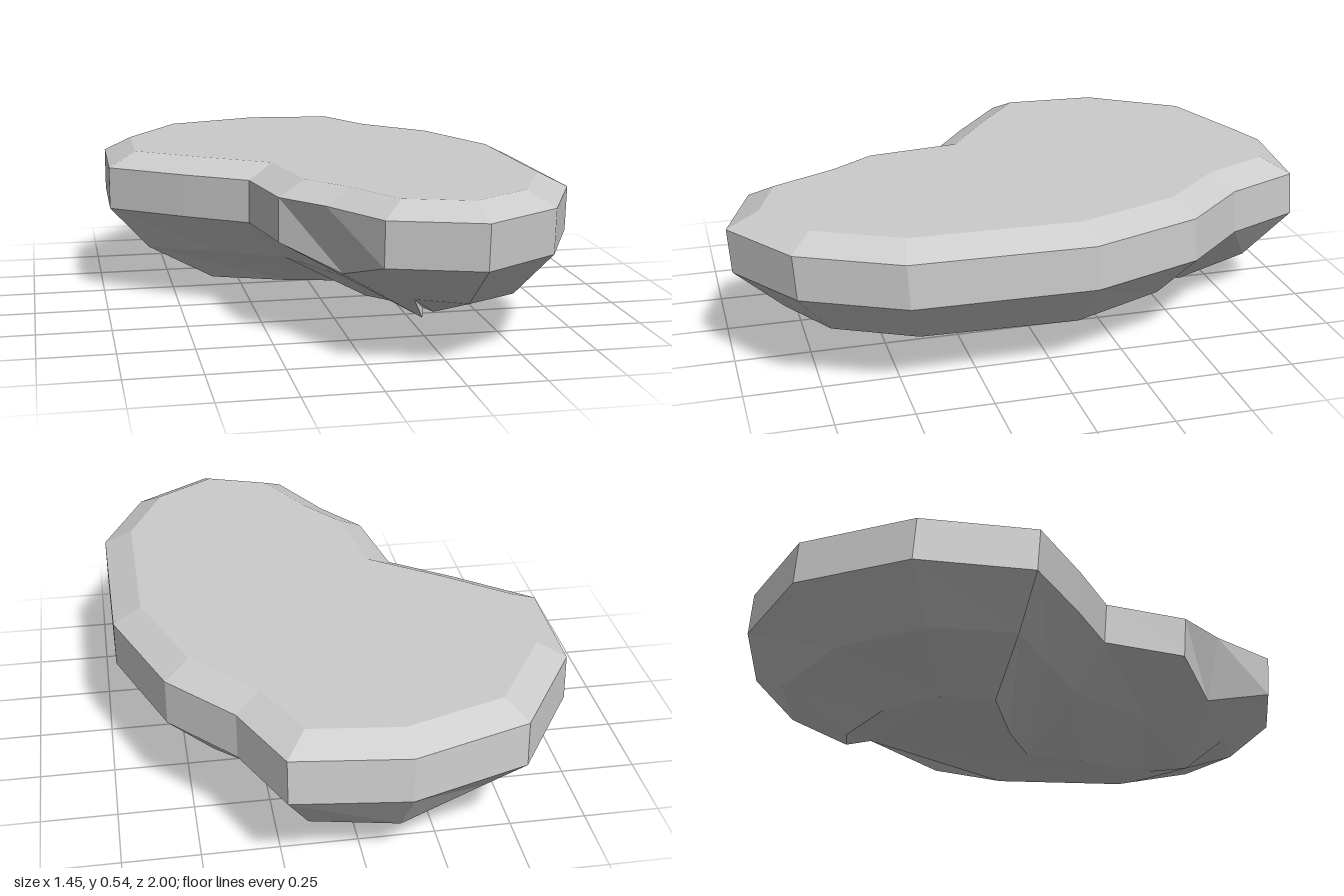
import * as THREE from 'three';

// Widest outline (x, z), running clockwise as seen from above
const outline = [
  [-0.12, -0.99], [0.25, -0.945], [0.37, -0.685], [0.57, -0.465], [0.715, -0.085], [0.72, 0.51],
  [0.57, 0.83], [0.31, 1.0], [0.02, 0.9], [-0.11, 0.66], [-0.23, 0.5], [-0.28, 0.2],
  [-0.48, 0.06], [-0.725, -0.13], [-0.72, -0.52], [-0.5, -0.865],
];

// Tapering underside (x, y, z), with a crease folded in from the two bays
const belly = [
  [-0.11, 0.14, -0.87], [0.17, 0.145, -0.82], [0.18, 0.145, -0.58], [0.42, 0.155, -0.4],
  [0.58, 0.165, -0.07], [0.59, 0.18, 0.45], [0.48, 0.19, 0.71], [0.3, 0.2, 0.83],
  [0.15, 0.2, 0.75], [0.21, 0.1, 0.62], [0, 0.19, 0.41], [-0.15, 0.19, 0.12],
  [-0.36, 0.185, -0.02], [-0.59, 0.175, -0.17], [-0.59, 0.165, -0.46], [-0.41, 0.15, -0.73],
];
const base = [
  [-0.08, 0, -0.65], [0.03, 0.01, -0.64], [0.11, 0.065, -0.55], [0.25, 0.03, -0.3],
  [0.34, 0.045, -0.05], [0.34, 0.07, 0.4], [0.32, 0.075, 0.45], [0.28, 0.08, 0.5],
  [0.25, 0.09, 0.48], [0.22, 0.095, 0.45], [0.12, 0.06, 0.2], [0.1, 0.06, 0],
  [-0.1, 0.045, -0.1], [-0.36, 0.045, -0.2], [-0.36, 0.04, -0.38], [-0.26, 0.02, -0.55],
];

// Move every corner of the outline inwards by an even distance
function inset(points, d) {
  const n = points.length;
  return points.map((p, i) => {
    const here = new THREE.Vector2(...p);
    const a = here.clone().sub(new THREE.Vector2(...points[(i + n - 1) % n])).normalize();
    const b = new THREE.Vector2(...points[(i + 1) % n]).sub(here).normalize();
    const na = new THREE.Vector2(-a.y, a.x), nb = new THREE.Vector2(-b.y, b.x);
    const miter = na.clone().add(nb).multiplyScalar(d / (1 + na.dot(nb)));
    return here.add(miter).toArray();
  });
}

// Place an outline on a plane that rises slightly towards the front
const lift = (points, y, shift = 0) =>
  points.map(([x, z]) => [x, y + 0.012 * z, z + shift]);

function loft(rings) {
  const n = rings[0].length, index = [];
  // Side bands between neighbouring rings
  for (let r = 0; r < rings.length - 1; r++) {
    for (let i = 0; i < n; i++) {
      const j = (i + 1) % n;
      const a = r * n + i, b = r * n + j, c = a + n, d = b + n;
      index.push(a, b, c, b, d, c);
    }
  }
  // Flat caps on the first and last ring
  const cap = (r, up) => {
    const pts = rings[r].map(([x, , z]) => new THREE.Vector2(x, z));
    for (const [a, b, c] of THREE.ShapeUtils.triangulateShape(pts, [])) {
      const facesDown = THREE.ShapeUtils.area([pts[a], pts[b], pts[c]]) > 0;
      const tri = facesDown === up ? [a, c, b] : [a, b, c];
      index.push(...tri.map((k) => k + r * n));
    }
  };
  cap(0, true);
  cap(rings.length - 1, false);
  const geometry = new THREE.BufferGeometry();
  geometry.setAttribute('position', new THREE.Float32BufferAttribute(rings.flat(2), 3));
  geometry.setIndex(index);
  const faceted = geometry.toNonIndexed();
  faceted.computeVertexNormals();
  return faceted;
}

export function createModel() {
  const group = new THREE.Group();
  group.name = 'flatToppedRock';
  const lower = lift(outline, 0.33, -0.01);
  lower[9] = [-0.05, 0.26, 0.63]; // fold at the front bay
  const rings = [
    lift(inset(outline, 0.095), 0.525), // flat top
    lift(outline, 0.477), // bevel edge
    lower, // bottom of the upright wall
    belly,
    base,
  ];
  const rock = new THREE.Mesh(
    loft(rings),
    new THREE.MeshStandardMaterial({ color: 0xcccccc, flatShading: true })
  );
  rock.name = 'rock';
  group.add(rock);
  return group;
}
